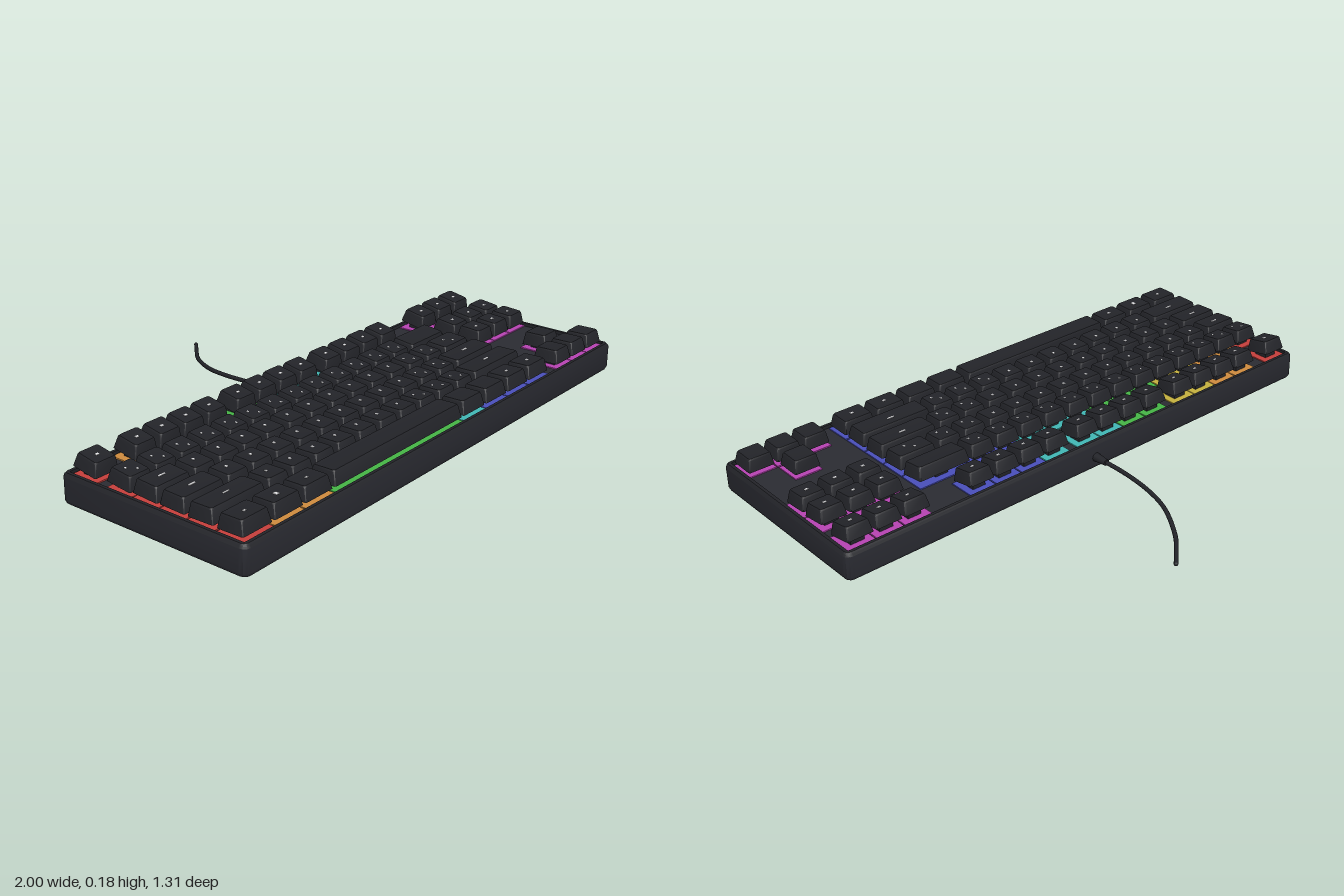
import * as THREE from 'three';
import { toCreasedNormals } from 'three/addons/utils/BufferGeometryUtils.js';

const U = 0.1056;          // key pitch
const X0 = -9.25 * U;      // left edge of the key field
const mat = (name, color) => {
  const m = new THREE.MeshStandardMaterial({ color });
  m.name = name;
  return m;
};

// Rounded-rectangle outline, counter-clockwise seen from above
function ring(w, d, r, y, zShift = 0) {
  const pts = [];
  for (let q = 0; q < 4; q++) {
    const sx = q === 0 || q === 3 ? 1 : -1, sz = q < 2 ? -1 : 1;
    for (let k = 0; k <= 3; k++) {
      const a = (q + k / 3) * Math.PI / 2;
      pts.push([sx * (w / 2 - r) + r * Math.cos(a), y, sz * (d / 2 - r) - r * Math.sin(a) + zShift]);
    }
  }
  return pts;
}

// Skin over a stack of rings, optionally closed at both ends
function loft(rings, closed = true) {
  const n = rings[0].length, pos = rings.flat(2), idx = [];
  for (let j = 0; j < rings.length - 1; j++) {
    for (let i = 0; i < n; i++) {
      const a = j * n + i, b = j * n + (i + 1) % n;
      idx.push(a, b, b + n, a, b + n, a + n);
    }
  }
  if (closed) {
    const last = (rings.length - 1) * n;
    for (let i = 1; i < n - 1; i++) idx.push(0, i + 1, i, last, last + i, last + i + 1);
  }
  const g = new THREE.BufferGeometry();
  g.setAttribute('position', new THREE.Float32BufferAttribute(pos, 3));
  g.setIndex(idx);
  return toCreasedNormals(g, 0.5);
}

export function createModel() {
  const model = new THREE.Group();
  model.name = 'keyboard';
  const caseMat = mat('case charcoal', 0x2b2c33);
  const capMat = mat('keycap black', 0x232429);
  const legendMat = mat('legend white', 0xe4e4e6);
  const glows = [
    [-0.82, mat('glow red', 0xc8403c)], [-0.64, mat('glow orange', 0xd08c3e)],
    [-0.42, mat('glow yellow', 0xc6b23e)], [-0.12, mat('glow green', 0x46b646)],
    [0.22, mat('glow cyan', 0x42b8b6)], [0.64, mat('glow blue', 0x4a50bc)],
    [9, mat('glow magenta', 0xb844b4)],
  ];
  const add = (parent, name, geo, material, x = 0, y = 0, z = 0) => {
    const m = new THREE.Mesh(geo, material);
    m.name = name;
    m.position.set(x, y, z);
    parent.add(m);
    return m;
  };

  // Case with rounded edges, and a raised dark rim around the plate
  const shell = list => list.map(([inset, y]) =>
    ring(1.996 - 2 * inset, 0.718 - 2 * inset, Math.max(0.024 - inset, 0.004), y));
  add(model, 'case', loft(shell([[0.016, 0.01], [0.005, 0.014], [0, 0.024], [0, 0.1], [0.02, 0.1]])),
    caseMat, 0, 0, 0.296);
  add(model, 'rim', loft(shell([[0, 0.1], [0.003, 0.106], [0.009, 0.112], [0.02, 0.112], [0.02, 0.1]]), false),
    capMat, 0, 0, 0.296);

  // Feet
  for (const x of [-0.74, 0.74]) {
    for (const z of [0.065, 0.528]) add(model, 'foot', new THREE.BoxGeometry(0.15, 0.014, 0.048), capMat, x, 0.007, z);
  }

  // Cap geometry is shared by all keys of one width
  const caps = new Map();
  const capGeo = w => {
    if (!caps.has(w)) {
      const d = 0.096;
      caps.set(w, loft([
        ring(w, d, 0.006, 0), ring(w - 0.014, d - 0.015, 0.007, 0.04, -0.0015),
        ring(w - 0.02, d - 0.021, 0.007, 0.045, -0.0015), ring(w - 0.036, d - 0.037, 0.008, 0.0435, -0.0015),
      ]));
    }
    return caps.get(w);
  };

  // Printed marks: lists of [x, z, width, depth]
  const marks = {
    dot: [[0, 0, 0.012, 0.008]],
    letter: [[0, -0.008, 0.008, 0.01]],
    pair: [[-0.012, -0.01, 0.006, 0.008], [0.013, 0.014, 0.006, 0.008]],
    dash: [[0, -0.006, 0.026, 0.006]],
    square: [[0, 0, 0.014, 0.016]],
    none: [],
  };

  function addKey(start, units, row, mark) {
    const x = X0 + (start + units / 2) * U, w = units * U - 0.0096;
    const key = new THREE.Group();
    key.name = 'key';
    key.position.set(x, row.y, row.z);
    key.rotation.x = row.tilt;
    model.add(key);
    add(key, 'keycap', capGeo(w), capMat);
    for (const [mx, mz, mw, md] of marks[mark]) {
      add(key, 'legend', new THREE.BoxGeometry(mw, 0.002, md), legendMat, mx, 0.044, mz);
    }
    add(model, 'stem', new THREE.BoxGeometry(0.05, 0.024, 0.05), capMat, x, 0.112, row.z);
    const glow = glows.find(([limit]) => x < limit)[1];
    add(model, 'underglow', new THREE.BoxGeometry(w + 0.005, 0.004, 0.101), glow, x, 0.102, row.z);
  }

  // Rows from back to front; keys are [start, width, mark, repeat]
  const rows = [
    { z: 0.012, y: 0.124, tilt: 0.18, keys: [[0, 1, 'dot'], [1.53, 1, 'dot', 4], [5.82, 1, 'dot', 4],
      [10.1, 1, 'dot', 4], [15.5, 1, 'dot', 3]] },
    { z: 0.153, y: 0.121, tilt: 0.12, keys: [[0, 1, 'pair', 13], [13, 2, 'none'], [15.5, 1, 'dot', 3]] },
    { z: 0.258, y: 0.119, tilt: 0.06, keys: [[0, 1.5, 'dash'], [1.5, 1, 'letter', 10], [11.5, 1, 'pair', 2],
      [13.5, 1.5, 'pair'], [15.5, 1, 'dot', 3]] },
    { z: 0.363, y: 0.118, tilt: 0.03, keys: [[0, 1.75, 'dash'], [1.75, 1, 'letter', 9], [10.75, 1, 'pair', 2],
      [12.75, 2.25, 'dash']] },
    { z: 0.469, y: 0.117, tilt: -0.02, keys: [[0, 2.25, 'dash'], [2.25, 1, 'letter', 7], [9.25, 1, 'pair', 3],
      [12.25, 2.75, 'dash'], [16.5, 1, 'none']] },
    { z: 0.577, y: 0.117, tilt: -0.02, keys: [[0, 1.25, 'dot'], [1.25, 1.25, 'square'], [2.5, 1.25, 'dot'],
      [3.75, 6.25, 'none'], [10, 1.25, 'none', 2], [12.5, 1.25, 'dot', 2], [15.5, 1, 'none', 3]] },
  ];
  for (const row of rows) {
    for (const [start, units, mark, repeat = 1] of row.keys) {
      for (let i = 0; i < repeat; i++) addKey(start + i * units, units, row, mark);
    }
  }

  // Cable with its strain relief at the back
  const relief = add(model, 'strainRelief', new THREE.CylinderGeometry(0.011, 0.016, 0.055, 16), capMat, 0, 0.055, -0.087);
  relief.rotation.x = -Math.PI / 2;
  const path = new THREE.CatmullRomCurve3([
    [0, 0.055, -0.07], [-0.005, 0.05, -0.2], [0.004, 0.043, -0.32], [0.03, 0.035, -0.42],
    [0.1, 0.022, -0.54], [0.155, 0.02, -0.6], [0.207, 0.021, -0.651],
  ].map(p => new THREE.Vector3(...p)));
  add(model, 'cable', new THREE.TubeGeometry(path, 48, 0.0075, 10), capMat);
  const tip = add(model, 'cableEnd', new THREE.SphereGeometry(0.0075, 10, 8), capMat);
  tip.position.copy(path.getPoint(1));
  return model;
}
